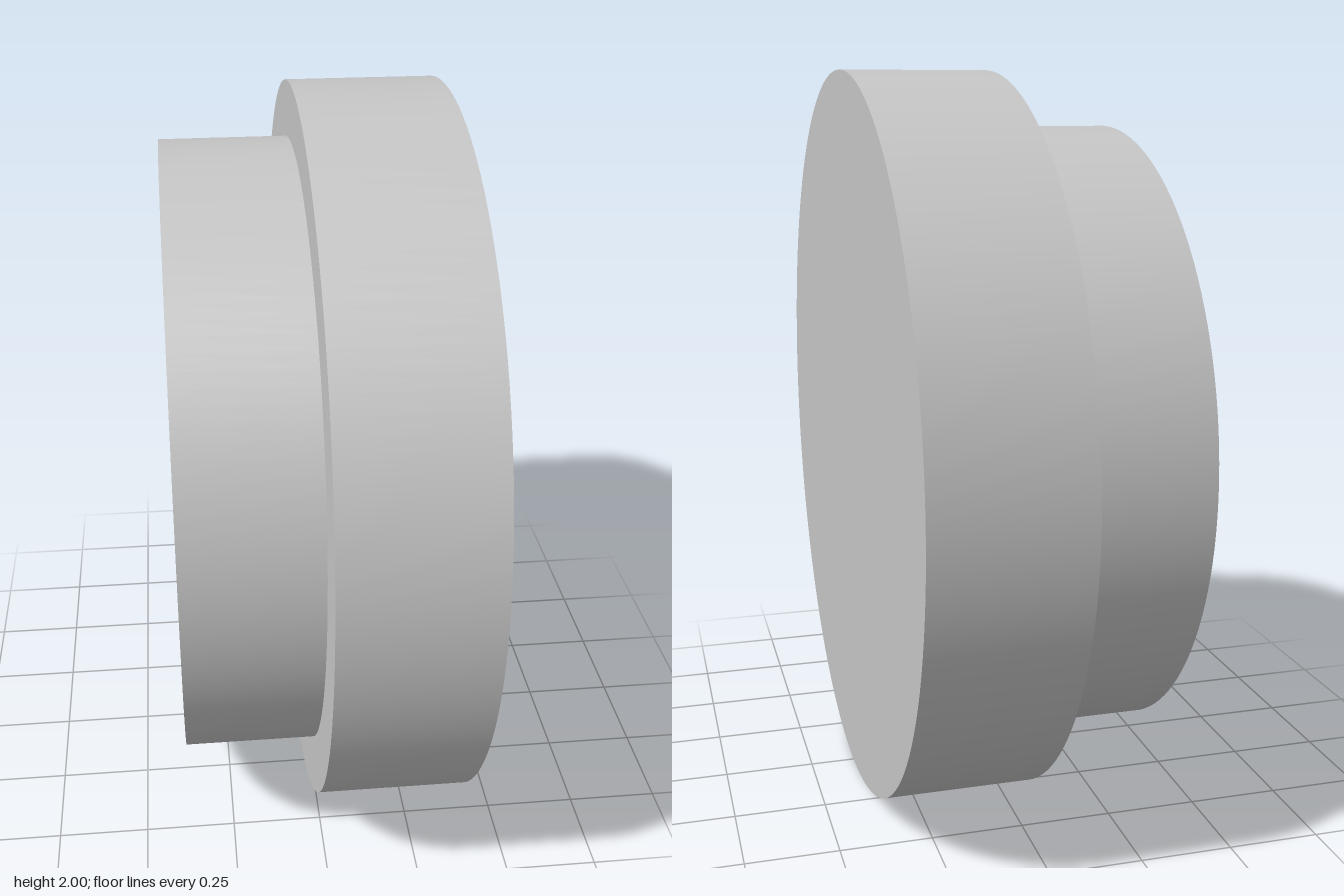
import * as THREE from 'three';

export function createModel() {
  const group = new THREE.Group();
  const grey = new THREE.MeshStandardMaterial({ color: 0xc6c6c6 });
  grey.name = 'light grey';

  // Solid disc whose axis runs along x, from x0 to x1
  function disc(name, radius, x0, x1) {
    const geometry = new THREE.CylinderGeometry(radius, radius, x1 - x0, 128);
    geometry.rotateZ(-Math.PI / 2);
    const mesh = new THREE.Mesh(geometry, grey);
    mesh.name = name;
    mesh.position.set((x0 + x1) / 2, 1, 0);
    group.add(mesh);
  }

  disc('flange', 1, -0.025, 0.375); // wide head
  disc('plug', 0.85, -0.375, -0.025); // narrower stepped body

  return group;
}
